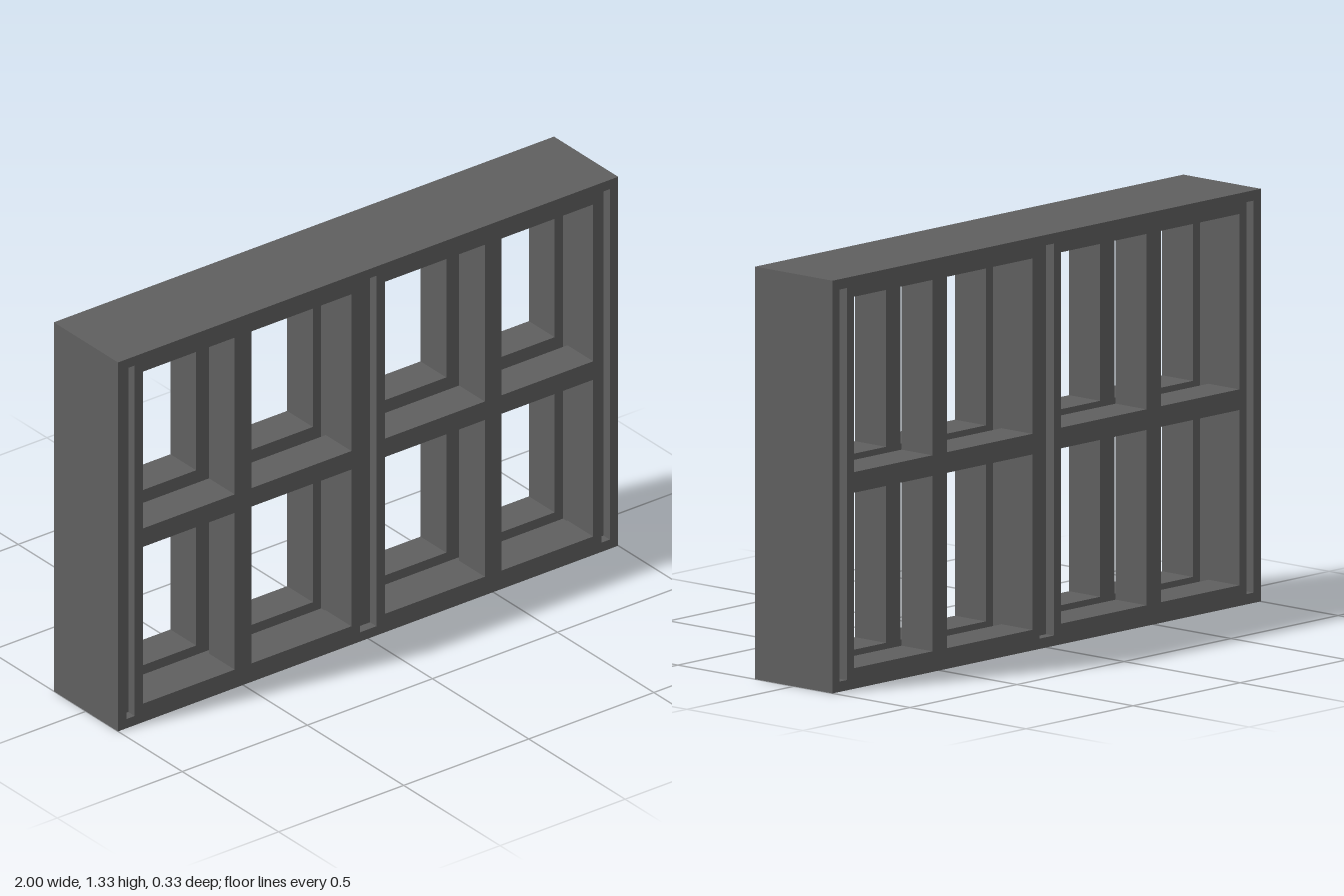
import * as THREE from 'three';

const U = 1 / 30; // design unit: the frame is 60 x 40 x 10 units

// Rectangle outline in design units
function rect(path, x0, y0, x1, y1) {
  path.moveTo(x0 * U, y0 * U);
  path.lineTo(x1 * U, y0 * U);
  path.lineTo(x1 * U, y1 * U);
  path.lineTo(x0 * U, y1 * U);
  path.closePath();
  return path;
}

export function createModel() {
  const group = new THREE.Group();
  const frameGrey = new THREE.MeshStandardMaterial({ color: 0x5f5f5f });
  frameGrey.name = 'frameGrey';

  // One slab of the frame, pierced by rectangular holes, from z0 to z1
  function layer(name, holes, z0, z1) {
    const shape = rect(new THREE.Shape(), -30, 0, 30, 40);
    for (const h of holes) shape.holes.push(rect(new THREE.Path(), ...h));
    const geo = new THREE.ExtrudeGeometry(shape, { depth: (z1 - z0) * U, bevelEnabled: false });
    geo.translate(0, 0, z0 * U);
    const mesh = new THREE.Mesh(geo, frameGrey);
    mesh.name = name;
    group.add(mesh);
  }

  // Eight window openings, mirrored about the centre post
  const openings = [];
  for (const [y0, y1] of [[2, 19], [21, 38]]) {
    for (const [x0, x1] of [[2, 14], [16, 27]]) {
      openings.push([x0, y0, x1, y1], [-x1, y0, -x0, y1]);
    }
  }
  // Shallow upright grooves beside the two sashes
  const grooves = [[-29, 1, -28, 39], [-1, 1, 1, 39], [28, 1, 29, 39]];
  // Pane slots, wider than the openings
  const slots = [[-28, 1, -1, 39], [1, 1, 28, 39]];

  layer('frontFace', [...openings, ...grooves], 4, 5);
  layer('frontGrid', openings, 1, 4);
  layer('paneSlotCore', slots, -1, 1);
  layer('backGrid', openings, -4, -1);
  layer('backFace', [...openings, ...grooves], -5, -4);
  return group;
}
